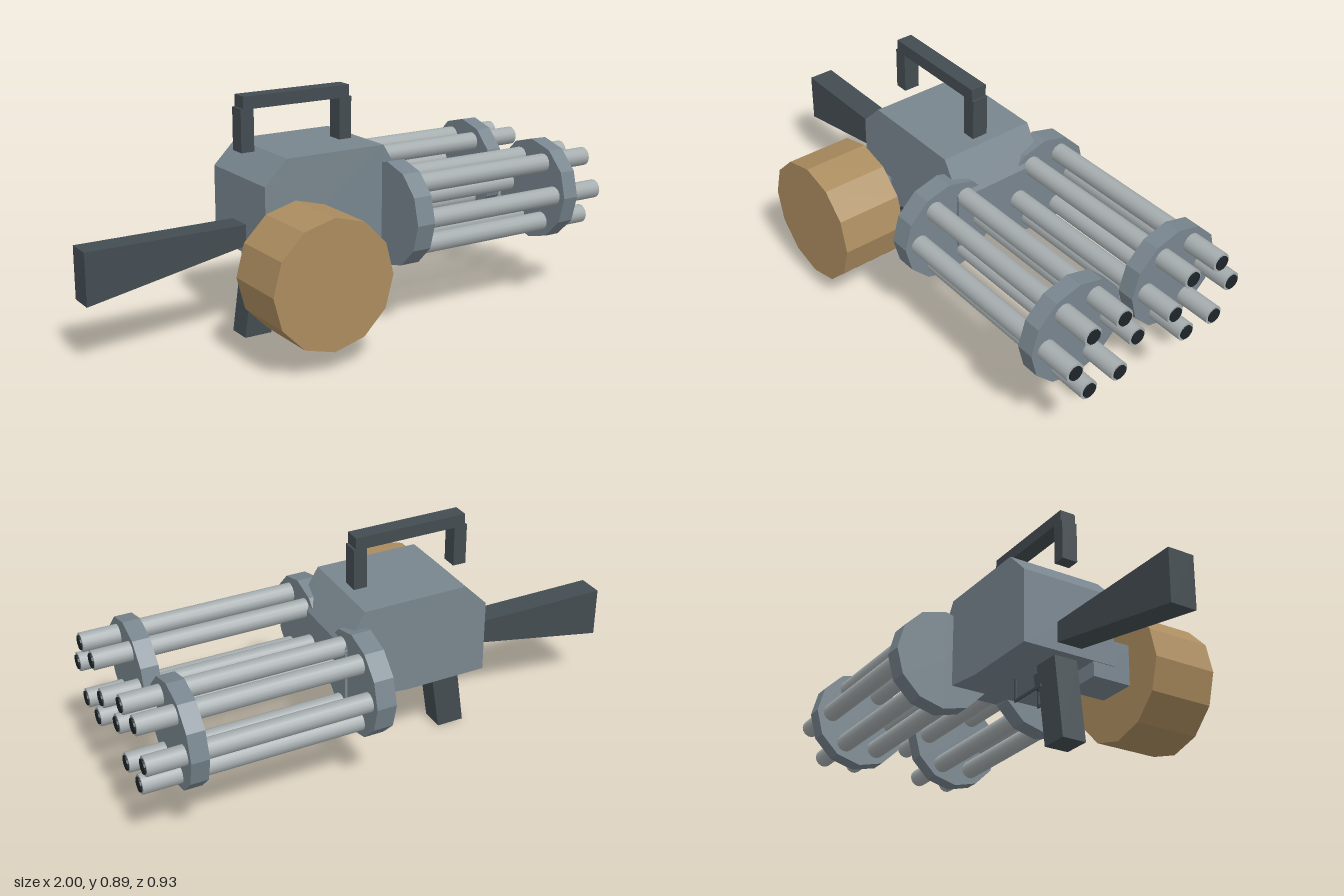
import * as THREE from 'three';

const mat = (color) => new THREE.MeshStandardMaterial({ color, flatShading: true });
const MID_Z = -0.045;

export function createModel() {
  const model = new THREE.Group();
  model.name = 'twinRotaryGun';
  const metal = mat(0x78858e), dark = mat(0x434c51), tan = mat(0xab8c5f), bore = mat(0x1d2529);
  const steel = new THREE.MeshStandardMaterial({ color: 0xa6adaf });

  const add = (name, geometry, material, parent = model) => {
    const mesh = new THREE.Mesh(geometry, material);
    mesh.name = name;
    parent.add(mesh);
    return mesh;
  };
  // side outline in x,y extruded from z0 to z1
  const slab = (name, points, z0, z1, material) => {
    const shape = new THREE.Shape(points.map(([x, y]) => new THREE.Vector2(x, y)));
    const geo = new THREE.ExtrudeGeometry(shape, { depth: z1 - z0, bevelEnabled: false });
    return add(name, geo.translate(0, 0, z0), material);
  };
  // box given by its limits
  const box = (name, x0, x1, y0, y1, z0, z1, material) => {
    const geo = new THREE.BoxGeometry(x1 - x0, y1 - y0, z1 - z0);
    return add(name, geo.translate((x0 + x1) / 2, (y0 + y1) / 2, (z0 + z1) / 2), material);
  };
  // cylinder lying along x
  const rod = (name, r, x0, x1, y, z, sides, material, parent) => {
    const geo = new THREE.CylinderGeometry(r, r, x1 - x0, sides).rotateZ(-Math.PI / 2);
    return add(name, geo.translate((x0 + x1) / 2, y, z), material, parent);
  };

  // receiver
  slab('body', [[-0.385, 0.32], [-0.06, 0.32], [0.19, 0.35], [0.19, 0.56],
    [0.11, 0.69], [-0.295, 0.69], [-0.385, 0.6]], -0.235, 0.145, metal);

  // stock and grip
  slab('stock', [[-1, 0.235], [-0.38, 0.353], [-0.38, 0.43], [-1, 0.43]], -0.098, 0.002, dark);
  slab('grip', [[-0.397, 0], [-0.288, 0], [-0.24, 0.325], [-0.352, 0.325]], -0.09, 0.004, dark);

  // trigger and its guard strips
  slab('trigger', [[-0.2, 0.255], [-0.18, 0.255], [-0.165, 0.325], [-0.195, 0.325]], -0.055, -0.033, dark);
  for (const z of [-0.095, 0.003]) {
    box('guardPost', -0.11, -0.1, 0.23, 0.325, z, z + 0.006, dark);
    box('guardRail', -0.27, -0.1, 0.23, 0.24, z, z + 0.006, dark);
  }

  // carrying handle
  box('handleBar', -0.38, 0.063, 0.845, 0.892, -0.075, -0.012, dark);
  for (const x of [-0.39, 0.02]) box('handlePost', x, x + 0.052, 0.69, 0.848, -0.075, -0.012, dark);

  // ammunition drum on its side mount
  box('drumMount', -0.382, -0.225, 0.263, 0.42, 0.055, 0.22, metal);
  add('ammoDrum', new THREE.CylinderGeometry(0.238, 0.238, 0.254, 12)
    .rotateX(Math.PI / 2).translate(-0.3, 0.318, 0.337), tan);

  // two six-barrel clusters
  for (const side of [1, -1]) {
    const cluster = new THREE.Group();
    cluster.name = side > 0 ? 'frontCluster' : 'backCluster';
    cluster.position.set(0, 0.437, MID_Z + side * 0.222);
    model.add(cluster);
    rod('rearDisc', 0.197, 0.105, 0.18, 0, 0, 12, metal, cluster);
    rod('frontDisc', 0.197, 0.79, 0.855, 0, 0, 12, metal, cluster);
    for (let i = 0; i < 6; i++) {
      const a = (i * Math.PI) / 3;
      const y = Math.sin(a) * 0.135, z = Math.cos(a) * 0.135;
      rod('barrel', 0.036, 0.15, 0.994, y, z, 14, steel, cluster);
      rod('bore', 0.027, 0.95, 1, y, z, 14, bore, cluster);
    }
  }
  return model;
}
